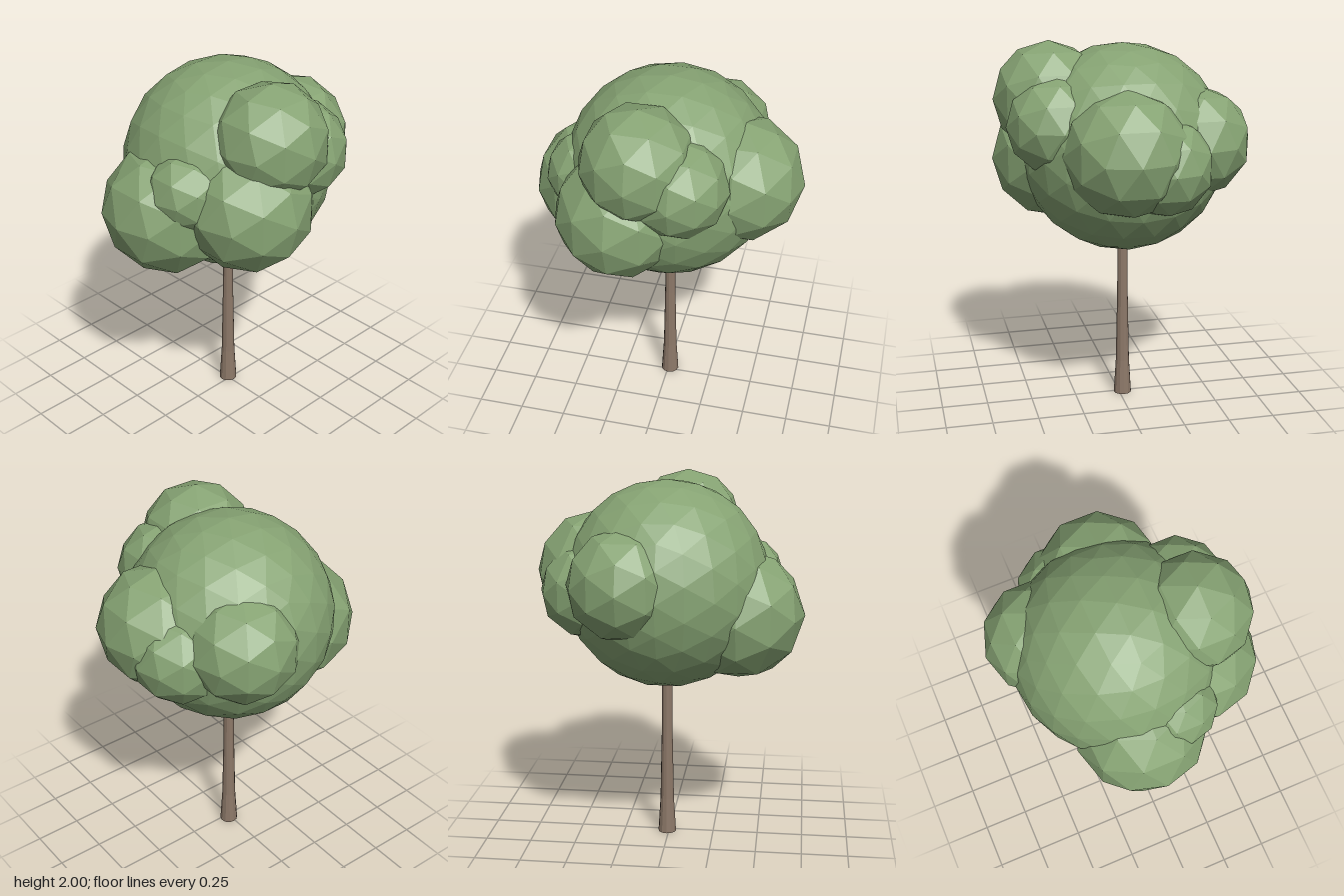
import * as THREE from 'three';

export function createModel() {
  const tree = new THREE.Group();
  tree.name = 'tree';

  const leafGreen = new THREE.MeshStandardMaterial({ color: 0x86a373 });
  leafGreen.name = 'leafGreen';
  leafGreen.flatShading = true;
  const barkBrown = new THREE.MeshStandardMaterial({ color: 0x8c7868 });
  barkBrown.name = 'barkBrown';
  barkBrown.flatShading = true;

  // Trunk: flared at the foot, tapering up into the crown
  const profile = [[0, 0], [0.05, 0], [0.038, 0.2], [0.03, 0.6], [0.027, 1], [0, 1]];
  const trunk = new THREE.Mesh(
    new THREE.LatheGeometry(profile.map(([r, y]) => new THREE.Vector2(r, y)), 12),
    barkBrown
  );
  trunk.name = 'trunk';
  trunk.position.set(0.01, 0, -0.02);
  tree.add(trunk);

  // Faceted ball of leaves
  const addLeaves = (name, x, y, z, radius, detail = 1) => {
    const mesh = new THREE.Mesh(new THREE.IcosahedronGeometry(radius, detail), leafGreen);
    mesh.name = name;
    mesh.position.set(x, y, z);
    tree.add(mesh);
  };

  // Crown and the smaller clumps growing out of it
  addLeaves('crown', 0.01, 1.432, -0.02, 0.555, 3);
  addLeaves('upperFrontClump', -0.065, 1.7, 0.36, 0.3);
  addLeaves('lowerFrontClump', -0.175, 1.36, 0.32, 0.34);
  addLeaves('smallFrontClump', 0.135, 1.59, 0.36, 0.26);
  addLeaves('leftClump', 0.395, 1.48, 0.045, 0.33);
  addLeaves('smallLeftClump', 0.41, 1.41, -0.14, 0.26);
  addLeaves('backClump', 0.195, 1.485, -0.365, 0.295);
  addLeaves('rightClump', -0.38, 1.285, -0.055, 0.35);
  addLeaves('smallRightClump', -0.39, 1.45, 0.12, 0.225);

  return tree;
}
